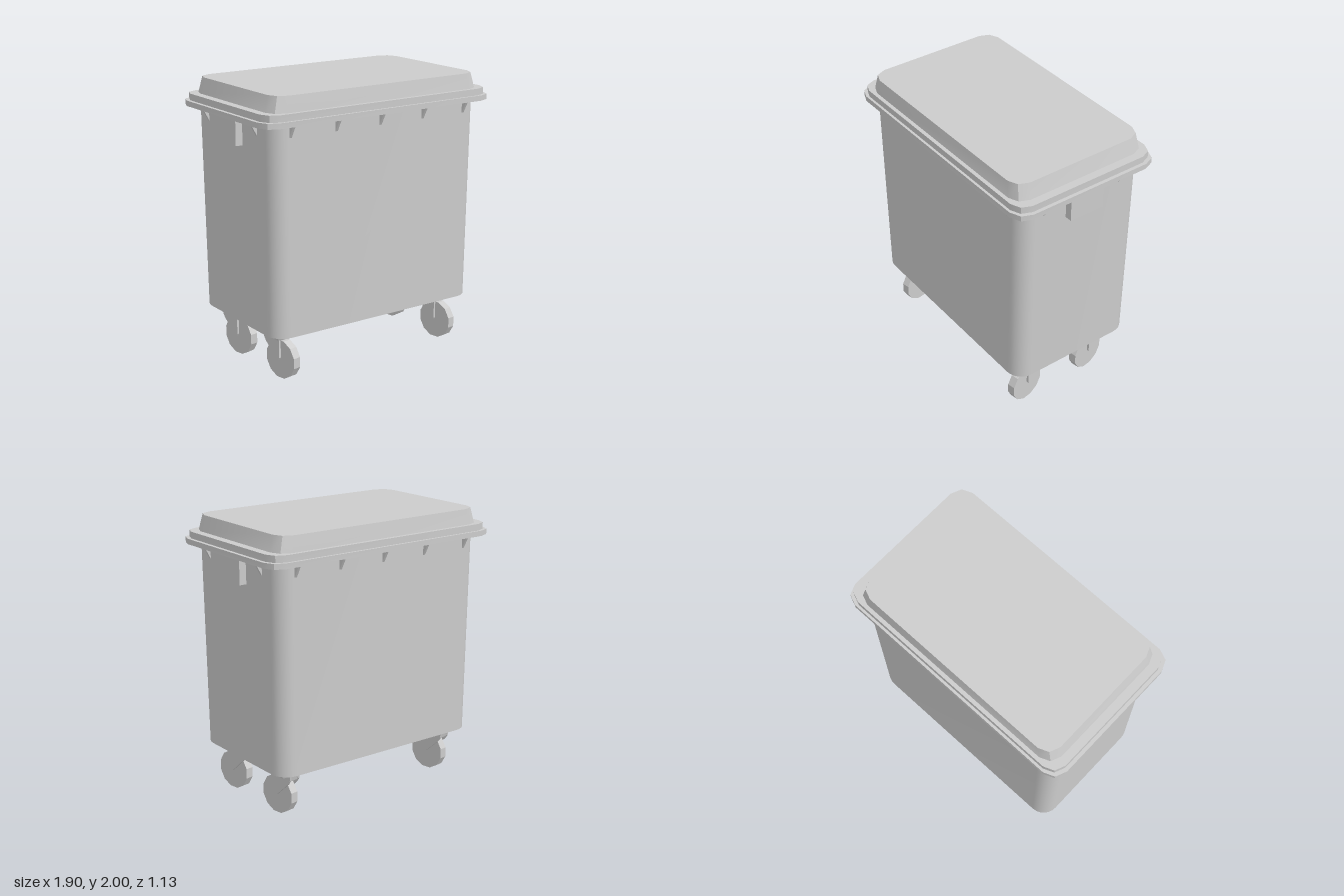
import * as THREE from 'three';
import { toCreasedNormals } from 'three/addons/utils/BufferGeometryUtils.js';

const material = new THREE.MeshStandardMaterial({ color: 0xcccccc });

function addMesh(parent, name, geometry) {
  const mesh = new THREE.Mesh(geometry, material);
  mesh.name = name;
  parent.add(mesh);
  return mesh;
}

// Outline of a rounded rectangle at height y
function ring([y, hx, hz, r], segments) {
  const points = [];
  [[1, 1], [-1, 1], [-1, -1], [1, -1]].forEach(([sx, sz], corner) => {
    for (let i = 0; i <= segments; i++) {
      const a = (corner + i / segments) * Math.PI / 2;
      points.push([sx * (hx - r) + r * Math.cos(a), y, sz * (hz - r) + r * Math.sin(a)]);
    }
  });
  return points;
}

// Closed solid between two rounded rectangles, each [y, halfX, halfZ, radius]
function loft(bottom, top, segments) {
  const a = ring(bottom, segments), b = ring(top, segments), v = [];
  const low = [0, bottom[0], 0], high = [0, top[0], 0];
  a.forEach((p, i) => {
    const j = (i + 1) % a.length;
    v.push(...p, ...b[i], ...a[j], ...a[j], ...b[i], ...b[j]);
    v.push(...high, ...b[j], ...b[i], ...low, ...p, ...a[j]);
  });
  const g = new THREE.BufferGeometry();
  g.setAttribute('position', new THREE.Float32BufferAttribute(v, 3));
  return toCreasedNormals(g, Math.PI / 6);
}

// Outline extruded to a thickness, centred on its plane
function plate(points, thickness) {
  const shape = new THREE.Shape(points.map(([x, y]) => new THREE.Vector2(x, y)));
  return new THREE.ExtrudeGeometry(shape, { depth: thickness, bevelEnabled: false })
    .translate(0, 0, -thickness / 2);
}

// Swivel caster: mounting plate, fork and wheel
function createCaster() {
  const caster = new THREE.Group();
  caster.name = 'caster';
  addMesh(caster, 'mountingPlate', loft([0.312, 0.095, 0.125, 0.004], [0.352, 0.108, 0.143, 0.004], 1));

  const swivel = new THREE.Group();
  swivel.name = 'swivel';
  swivel.rotation.y = 0.175;
  caster.add(swivel);

  const arm = plate([[0.058, 0.315], [0.056, 0.3], [0.044, 0.285], [0.044, 0.15], [0.037, 0.138],
    [0.027, 0.136], [0.015, 0.146], [-0.085, 0.24], [-0.105, 0.27], [-0.113, 0.315]], 0.016)
    .rotateY(-Math.PI / 2);
  for (const side of [-1, 1]) {
    addMesh(swivel, 'forkArm', arm).position.x = side * 0.04;
  }
  const bridge = plate([[0.058, 0.315], [0.05, 0.275], [-0.1, 0.265], [-0.113, 0.315]], 0.08)
    .rotateY(-Math.PI / 2);
  addMesh(swivel, 'forkBridge', bridge);

  const wheel = new THREE.CylinderGeometry(0.141, 0.141, 0.058, 12)
    .rotateZ(Math.PI / 2).rotateX(Math.PI / 12);
  addMesh(swivel, 'wheel', toCreasedNormals(wheel, 0.3)).position.set(0, 0.1365, 0.035);
  return caster;
}

export function createModel() {
  const model = new THREE.Group();
  model.name = 'wheeledBin';

  // Tapered container, stepped rim and raised lid
  addMesh(model, 'body', loft([0.35, 0.844, 0.493, 0.12], [1.81, 0.863, 0.503, 0.12], 6));
  addMesh(model, 'rim', loft([1.805, 0.948, 0.567, 0.108], [1.843, 0.948, 0.567, 0.108], 2));
  addMesh(model, 'lidFlange', loft([1.843, 0.923, 0.549, 0.1], [1.89, 0.923, 0.549, 0.1], 2));
  addMesh(model, 'lid', loft([1.89, 0.864, 0.521, 0.1], [2, 0.837, 0.508, 0.1], 2));

  // Lifting blocks on both ends
  for (const side of [-1, 1]) {
    addMesh(model, 'liftingBlock', new THREE.BoxGeometry(0.075, 0.182, 0.264))
      .position.set(side * 0.876, 1.716, 0);
  }

  // Gussets under the rim
  const gusset = plate([[-0.01, 1.806], [-0.01, 1.7], [0.048, 1.806]], 0.018);
  const addGusset = (x, z, turn) => {
    const mesh = addMesh(model, 'rimGusset', gusset);
    mesh.position.set(x, 0, z);
    mesh.rotation.y = turn;
  };
  for (const side of [-1, 1]) {
    for (let i = -2; i <= 2; i++) addGusset(i * 0.362, side * 0.5, -side * Math.PI / 2);
    for (const z of [-0.31, 0.31]) addGusset(side * 0.862, z, side > 0 ? 0 : Math.PI);
  }

  // Four casters, all swivelled the same way
  for (const x of [-0.685, 0.682]) {
    for (const z of [-0.275, 0.28]) {
      const caster = createCaster();
      caster.position.set(x, 0, z);
      model.add(caster);
    }
  }
  return model;
}
